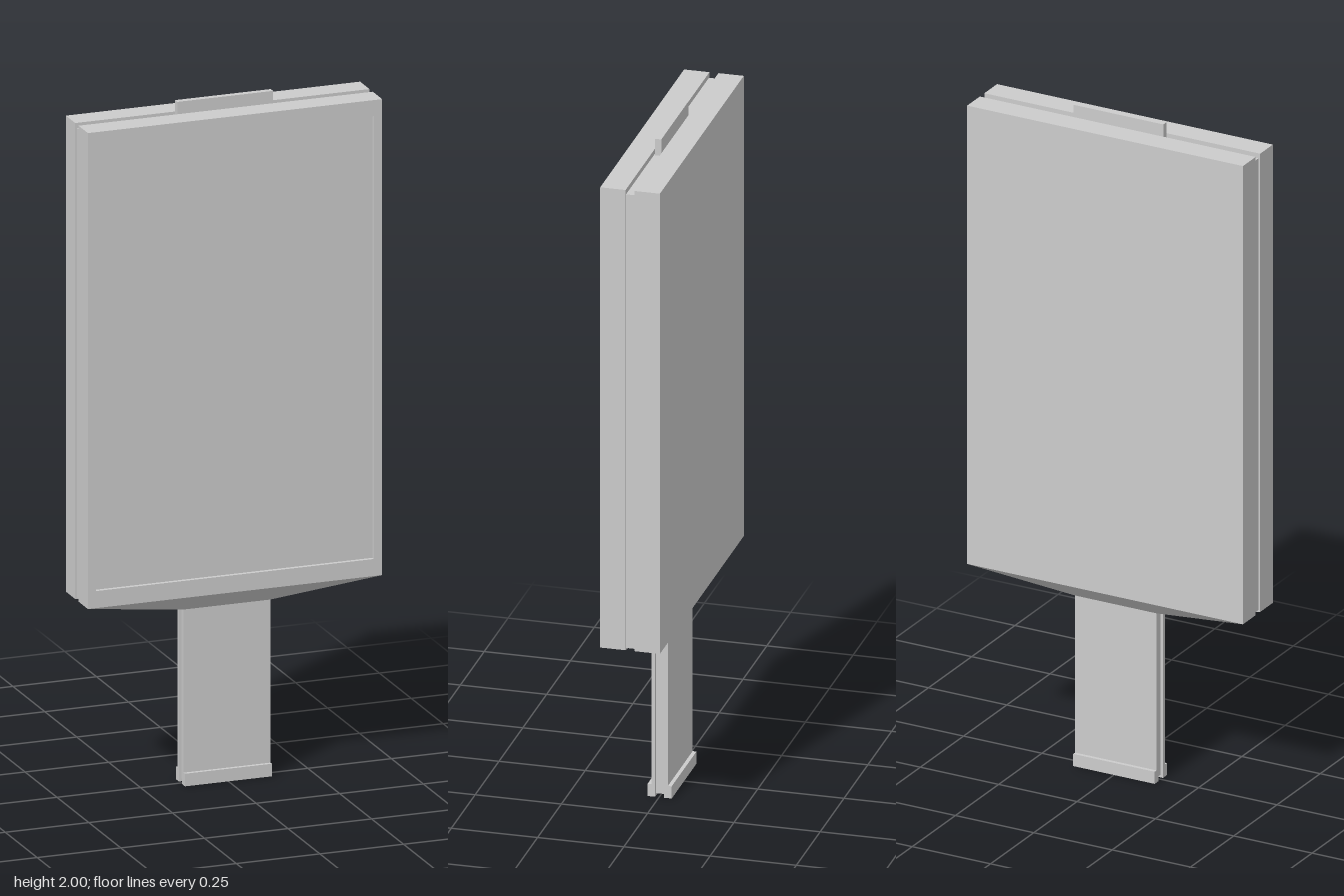
import * as THREE from 'three';

const mat = new THREE.MeshStandardMaterial({ color: 0xcccccc, flatShading: true });
const MID = -0.0015;   // depth of the central plane
const GAP = 0.013;     // half width of the groove between the two shells

function add(group, name, geometry) {
  const mesh = new THREE.Mesh(geometry, mat);
  mesh.name = name;
  group.add(mesh);
}

// Block between two heights; each end is [half width, z min, z max]
function block(y0, y1, bottom, top = bottom) {
  const g = new THREE.BoxGeometry(2, 1, 1);
  const p = g.attributes.position;
  for (let i = 0; i < p.count; i++) {
    const up = p.getY(i) > 0;
    const [w, z0, z1] = up ? top : bottom;
    p.setXYZ(i, p.getX(i) * w, up ? y1 : y0, p.getZ(i) > 0 ? z1 : z0);
  }
  g.computeVertexNormals();
  return g;
}

function rect(path, w, y0, y1) {
  return path.moveTo(-w, y0).lineTo(w, y0).lineTo(w, y1).lineTo(-w, y1).closePath();
}

export function createModel() {
  const model = new THREE.Group();
  model.name = 'displayStand';

  // Cabinet, tapered neck, post and foot, each split in a front and a back half
  for (const side of [1, -1]) {
    const half = new THREE.Group();
    half.name = side > 0 ? 'frontShell' : 'backShell';
    const span = (w, depth) => {
      const a = MID + side * GAP, b = MID + side * depth;
      return [w, Math.min(a, b), Math.max(a, b)];
    };
    const cabinetDepth = side > 0 ? 0.0745 : 0.0865;
    add(half, 'cabinet', block(0.57, 1.965, span(0.44, cabinetDepth)));
    add(half, 'neck', block(0.515, 0.57, span(0.13, 0.024), span(0.44, 0.0865)));
    add(half, 'post', block(0.037, 0.515, span(0.13, 0.024)));
    add(half, 'foot', block(0, 0.037, span(0.13, 0.035)));
    model.add(half);
  }

  // Raised frame around the recessed front screen
  const frame = rect(new THREE.Shape(), 0.44, 0.57, 1.965);
  frame.holes.push(rect(new THREE.Path(), 0.415, 0.62, 1.918));
  const frameGeometry = new THREE.ExtrudeGeometry(frame, { depth: 0.012, bevelEnabled: false });
  add(model, 'screenFrame', frameGeometry.translate(0, 0, MID + 0.0745));

  // Inset core that shows inside the groove
  const z = [MID - GAP, MID + GAP];
  add(model, 'cabinetCore', block(0.575, 1.95, [0.435, ...z]));
  add(model, 'neckCore', block(0.52, 0.575, [0.125, ...z], [0.435, ...z]));
  add(model, 'postCore', block(0.008, 0.52, [0.122, ...z]));

  // Thin plate standing out of the groove at the top
  add(model, 'topPlate', block(1.94, 2, [0.143, -0.01, 0.008]));

  return model;
}
